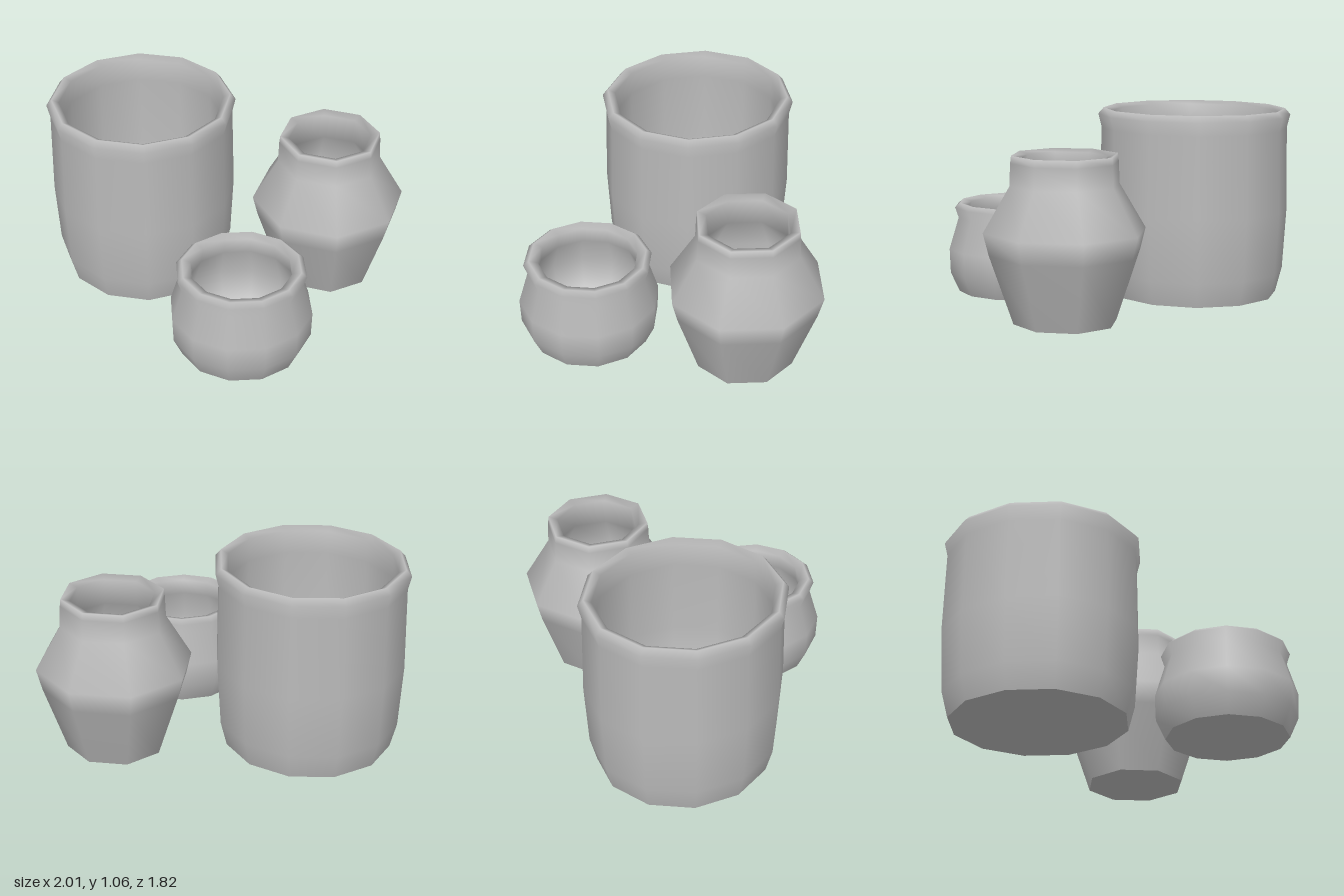
import * as THREE from 'three';

// Each profile runs [radius, height] up the outside, over the rim and down to the inner floor.
const POTS = [
  {
    name: 'largePot', x: -0.475, z: -0.37, sides: 12, turn: 0, depth: 1.04,
    profile: [[0.465, 0.01], [0.5, 0.15], [0.52, 0.5], [0.512, 0.96], [0.53, 1.035], [0.5, 1.07],
      [0.46, 1.05], [0.46, 0.92], [0.47, 0.5], [0.44, 0.15], [0.32, 0.06], [0, 0.05]],
  },
  {
    name: 'tallJar', x: 0.57, z: -0.17, sides: 8, turn: 0, depth: 1.02,
    profile: [[0.275, 0.01], [0.4, 0.38], [0.43, 0.5], [0.29, 0.74], [0.285, 0.86], [0.28, 0.9],
      [0.23, 0.885], [0.235, 0.74], [0.38, 0.5], [0.25, 0.08], [0, 0.05]],
  },
  {
    name: 'smallBowl', x: 0.02, z: 0.525, sides: 12, turn: Math.PI / 12, depth: 1,
    profile: [[0.335, 0.01], [0.385, 0.12], [0.39, 0.26], [0.335, 0.44], [0.355, 0.5], [0.325, 0.525],
      [0.275, 0.51], [0.285, 0.42], [0.34, 0.25], [0.29, 0.09], [0, 0.05]],
  },
];

function makePot({ name, x, z, sides, turn, depth, profile }, material) {
  const group = new THREE.Group();
  group.name = name;
  group.position.set(x, 0, z);

  // Hollow wall with a rolled rim
  const points = profile.map(([radius, height]) => new THREE.Vector2(radius, height));
  const wall = new THREE.Mesh(new THREE.LatheGeometry(points, sides, turn), material);
  wall.name = 'wall';

  // Flat underside with a sharp edge
  const [baseRadius, baseHeight] = profile[0];
  const disc = new THREE.CircleGeometry(baseRadius, sides, turn);
  disc.rotateX(Math.PI / 2).translate(0, baseHeight, 0);
  const base = new THREE.Mesh(disc, material);
  base.name = 'base';

  // Slightly oval from front to back
  for (const part of [wall, base]) part.geometry.scale(1, 1, depth);
  group.add(wall, base);
  return group;
}

export function createModel() {
  const model = new THREE.Group();
  model.name = 'potteryGroup';
  const clay = new THREE.MeshStandardMaterial({ color: 0xbcbcbc });
  clay.name = 'greyClay';
  for (const pot of POTS) model.add(makePot(pot, clay));
  return model;
}
